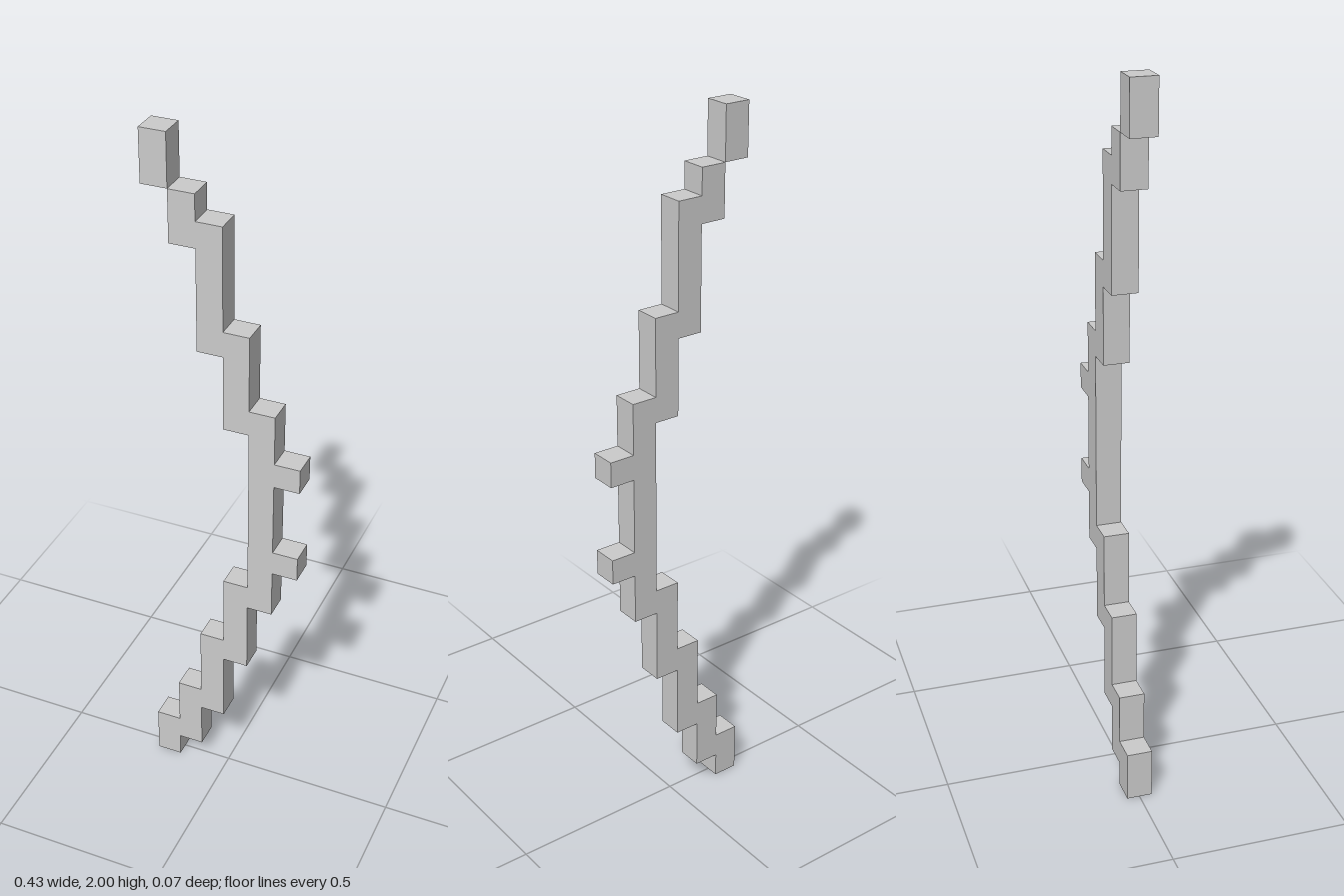
import * as THREE from 'three';

// The model is laid out on a grid of cubes, 28 cells tall and 6 wide
const U = 2 / 28;

// name, column, bottom row, top row
const SEGMENTS = [
  ['upperTip', 0, 26, 28],
  ['upperLimbOuter', 1, 24, 26],
  ['upperLimbMiddle', 2, 20, 25],
  ['upperLimbInner', 3, 17, 21],
  ['grip', 4, 9, 18],
  ['upperGripStud', 5, 15, 16],
  ['lowerGripStud', 5, 11, 12],
  ['lowerLimbInner', 3, 6, 10],
  ['lowerLimbMiddle', 2, 3, 7],
  ['lowerLimbOuter', 1, 1, 4],
  ['lowerTip', 0, 0, 2],
];

export function createModel() {
  const group = new THREE.Group();
  group.name = 'blockBow';
  const material = new THREE.MeshStandardMaterial({ color: 0xcccccc, flatShading: true });

  // One upright bar per grid column segment
  for (const [name, column, bottom, top] of SEGMENTS) {
    const bar = new THREE.Mesh(new THREE.BoxGeometry(U, (top - bottom) * U, U), material);
    bar.name = name;
    bar.position.set((column - 2.5) * U, ((bottom + top) / 2) * U, 0);
    group.add(bar);
  }
  return group;
}
